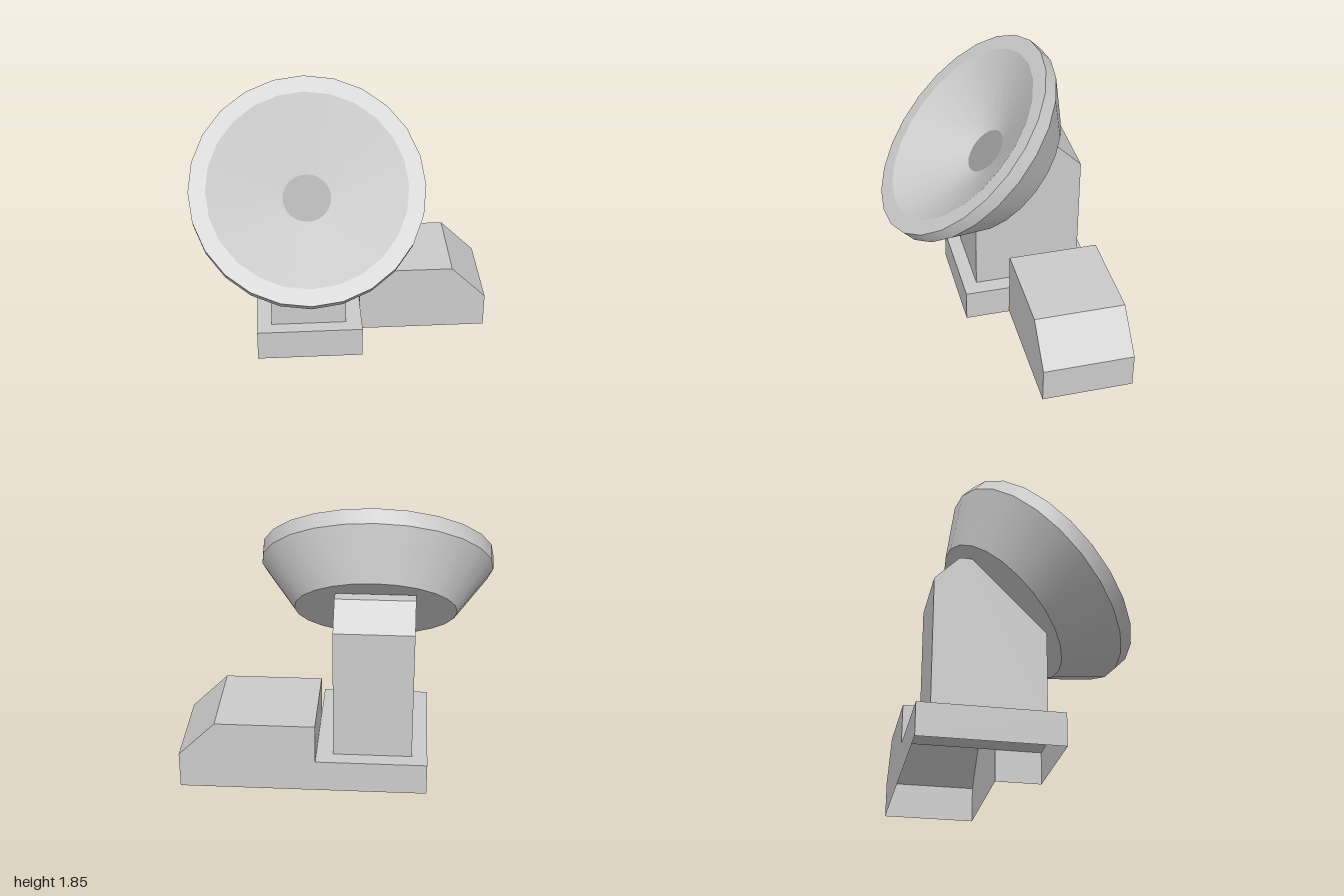
import * as THREE from 'three';
import { toCreasedNormals } from 'three/addons/utils/BufferGeometryUtils.js';

const grey = new THREE.MeshStandardMaterial({ color: 0xcccccc });
const thin = new THREE.MeshStandardMaterial({ color: 0xcccccc, side: THREE.DoubleSide });
const dark = new THREE.MeshStandardMaterial({ color: 0x999999 });

function mesh(name, geometry, material = grey) {
  const m = new THREE.Mesh(geometry, material);
  m.name = name;
  return m;
}

// Thin shell made of flat convex panels, corners counter-clockwise from outside
function panels(polygons) {
  const positions = [];
  for (const p of polygons) {
    for (let i = 1; i < p.length - 1; i++) positions.push(...p[0], ...p[i], ...p[i + 1]);
  }
  const geometry = new THREE.BufferGeometry();
  geometry.setAttribute('position', new THREE.Float32BufferAttribute(positions, 3));
  geometry.computeVertexNormals();
  return geometry;
}

export function createModel() {
  const model = new THREE.Group();
  model.name = 'dishStation';

  // Plinth and cabinet share one hollow interior that is open underneath
  const left = -0.6, step = 0.118, front = 0.215, mid = -0.09, back = -0.7, top = 0.216;
  model.add(mesh('plinth', panels([
    [[left, top, front], [step, top, front], [step, top, back], [left, top, back]],
    [[left, 0, front], [step, 0, front], [step, top, front], [left, top, front]],
    [[left, 0, back], [left, 0, front], [left, top, front], [left, top, back]],
    [[step, 0, back], [left, 0, back], [left, top, back], [step, top, back]],
    [[step, 0, front], [step, 0, mid], [step, top, mid], [step, top, front]],
  ]), thin));

  // Cabinet with a sloping end
  const outline = [[step, 0], [1, 0], [1, 0.24], [0.76, 0.48], [step, 0.48]];
  const side = [
    outline.map(([x, y]) => [x, y, mid]),
    outline.map(([x, y]) => [x, y, back]).reverse(),
  ];
  const across = [[1, 0], [1, 0.24], [0.76, 0.48], [step, 0.48], [step, top]];
  for (let i = 0; i < across.length - 1; i++) {
    const a = across[i], b = across[i + 1];
    side.push([[...a, mid], [...a, back], [...b, back], [...b, mid]]);
  }
  model.add(mesh('cabinet', panels(side), thin));

  // Pillar: profile in (z, y), cut at 45 degrees to carry the dish
  const profile = [[0.12, top], [0.12, 0.78], [-0.36, 1.26], [-0.44, 1.26], [-0.6, 1.1], [-0.6, top]];
  const pillar = new THREE.ExtrudeGeometry(
    new THREE.Shape(profile.map(([z, y]) => new THREE.Vector2(z, y))),
    { depth: 0.51, bevelEnabled: false });
  pillar.rotateY(-Math.PI / 2).translate(0.01, 0, 0);
  model.add(mesh('pillar', pillar));

  // Dish: outer cone, rim band, flat lip and inner cone
  const dish = new THREE.Group();
  dish.name = 'dish';
  const section = [[0.53, 0], [0.76, 0.304], [0.76, 0.402], [0.65, 0.402], [0.16, 0.16]];
  const bowl = new THREE.LatheGeometry(section.map(([r, y]) => new THREE.Vector2(r, y)), 24);
  dish.add(mesh('bowl', toCreasedNormals(bowl, 0.36)));
  dish.add(mesh('dishBack', new THREE.CircleGeometry(0.53, 24).rotateX(Math.PI / 2)));
  dish.add(mesh('dishCentre',
    new THREE.CircleGeometry(0.16, 24).rotateX(-Math.PI / 2).translate(0, 0.16, 0), dark));
  dish.position.set(-0.24, 1.025, -0.12);
  dish.rotation.x = Math.PI / 4;
  model.add(dish);

  return model;
}
